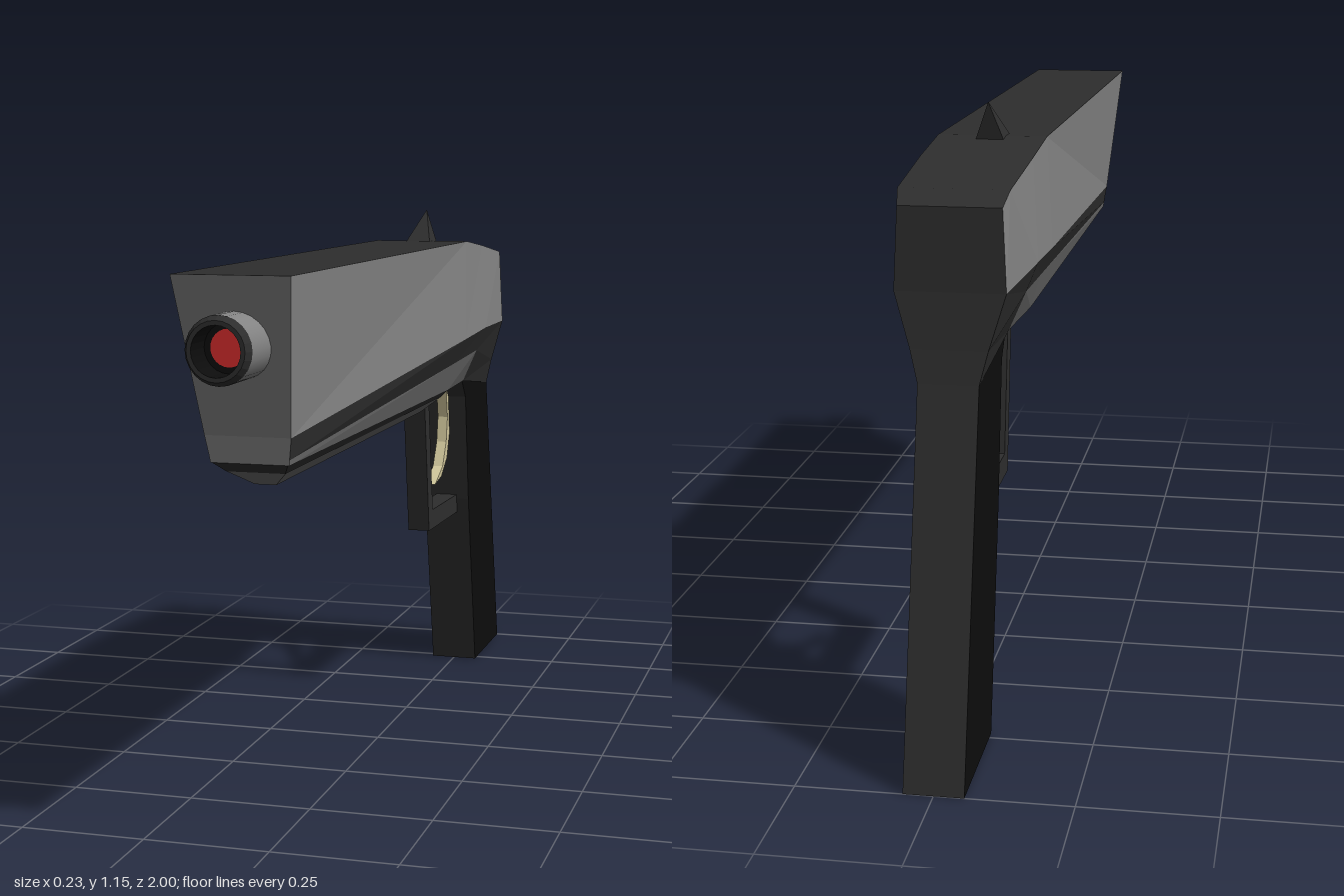
import * as THREE from 'three';

const paint = (name, color) => {
  const m = new THREE.MeshStandardMaterial({ color, flatShading: true });
  m.name = name;
  return m;
};

export function createModel() {
  const model = new THREE.Group();
  const gray = paint('steel gray', 0x848484);
  const mid = paint('shaded steel', 0x686868);
  const dark = paint('charcoal', 0x2e2e2e);
  const black = paint('grip black', 0x0c0c0c);
  const beige = paint('trigger beige', 0xd2c89c);
  const red = paint('bore red', 0xd82c2c);

  const add = (name, geometry, material) => {
    const mesh = new THREE.Mesh(geometry, material);
    mesh.name = name;
    model.add(mesh);
    return mesh;
  };
  const flip = ([x, y, z]) => [-x, y, z];

  // Flat convex faces, fan-triangulated
  const faces = (name, polys, material) => {
    const pos = [];
    for (const p of polys)
      for (let i = 1; i < p.length - 1; i++) pos.push(...p[0], ...p[i], ...p[i + 1]);
    const g = new THREE.BufferGeometry();
    g.setAttribute('position', new THREE.Float32BufferAttribute(pos, 3));
    g.computeVertexNormals();
    return add(name, g, material);
  };
  const mirrored = (polys) => [...polys, ...polys.map((p) => p.map(flip).reverse())];
  // Side faces between two rows (low, high) over successive stations
  const sides = (st, r, from = 0, to = st.length - 1) => {
    const out = [];
    for (let i = from; i < to; i++) {
      const [a, b, c, d] = [st[i][r], st[i + 1][r], st[i + 1][r + 1], st[i][r + 1]];
      out.push([a, b, c], [a, c, d]);
    }
    return mirrored(out);
  };
  // Full-width faces crossing the centre between points a and b
  const across = (a, b) => [flip(a), a, b, flip(b)];

  // Main body: stations front to back, rows bottom to top
  const body = [
    [[0.073, 0.74, 0.835], [0.074, 0.75, 0.837], [0.08, 0.79, 0.845], [0.108, 1.075, 0.925]],
    [[0.07, 0.735, -0.35], [0.089, 0.8, -0.35], [0.113, 0.855, -0.35], [0.106, 1.077, -0.38]],
    [[0.06, 0.735, -0.55], [0.093, 0.81, -0.55], [0.115, 0.865, -0.55], [0.105, 1.06, -0.55]],
    [[0.055, 0.7, -0.835], [0.07, 0.76, -0.826], [0.1, 0.86, -0.813], [0.1, 1.035, -0.77]],
  ];
  const rearTop = [0.093, 1.01, -0.81];
  const [s0, , , s3] = body;
  faces('slideSides', [...sides(body, 2), ...mirrored([[s3[2], rearTop, s3[3]]])], gray);
  faces('slideFront', [0, 1, 2].map((r) => across(s0[r], s0[r + 1])), gray);
  faces('slideTop', [
    ...[0, 1, 2].map((i) => across(body[i][3], body[i + 1][3])),
    across(s3[3], rearTop),
  ], dark);
  faces('bodyBack', [
    ...[0, 1].map((r) => across(s3[r + 1], s3[r])),
    across(rearTop, s3[2]),
  ], dark);
  faces('lowerChamfer', [...sides(body, 1), ...sides(body, 0, 2, 3)], dark);
  faces('sideRail', sides(body, 0, 0, 2), mid);
  faces('bodyUnderside', [0, 1, 2].map((i) => across(body[i + 1][0], body[i][0])), dark);

  // Tapered block below the barrel
  const under = [
    [[0.02, 0.69, 0.75], [0.055, 0.72, 0.803], [0.07, 0.74, 0.835]],
    [[0.02, 0.69, -0.29], [0.055, 0.72, -0.35], [0.07, 0.74, -0.38]],
  ];
  const [uf, ub] = under;
  faces('underBlock', [
    ...sides(under, 0), across(ub[0], uf[0]),
    across(uf[0], uf[1]), across(ub[1], ub[0]),
  ], mid);
  faces('underBlockGroove', [
    ...sides(under, 1), across(uf[1], uf[2]), across(ub[2], ub[1]),
  ], dark);

  // Profiles in (z, y), extruded across x
  const slab = (name, pts, width, material) => {
    const shape = new THREE.Shape(pts.map(([z, y]) => new THREE.Vector2(z, y)));
    const g = new THREE.ExtrudeGeometry(shape, { depth: width, bevelEnabled: false });
    g.rotateY(-Math.PI / 2).translate(width / 2, 0, 0);
    return add(name, g, material);
  };
  slab('grip', [[-0.55, 0.745], [-0.6, 0.69], [-0.64, 0.43], [-0.73, 0], [-1, 0],
    [-0.835, 0.7], [-0.815, 0.75]], 0.11, [black, dark]);
  slab('triggerGuard', [[-0.31, 0.725], [-0.36, 0.4], [-0.65, 0.395], [-0.64, 0.44],
    [-0.395, 0.445], [-0.35, 0.725]], 0.05, dark);
  slab('trigger', [[-0.575, 0.72], [-0.592, 0.64], [-0.58, 0.58], [-0.545, 0.525],
    [-0.47, 0.492], [-0.535, 0.503], [-0.59, 0.54], [-0.615, 0.6], [-0.62, 0.72]], 0.024, beige);

  // Rear sight: leaning pyramid
  const f = [0.03, 1.07, -0.335], b = [0.03, 1.065, -0.41], tip = [0, 1.147, -0.425];
  faces('sight', [[flip(f), f, tip], [b, flip(b), tip], ...mirrored([[f, b, tip]])], dark);

  // Barrel with hollow muzzle
  const lathe = (pts) => new THREE.LatheGeometry(pts.map(([r, z]) => new THREE.Vector2(r, z)), 24)
    .rotateX(Math.PI / 2).translate(0, 0.953, 0);
  const tube = gray.clone();
  tube.flatShading = false;
  add('barrel', lathe([[0.06, 0.82], [0.06, 0.985]]), tube);
  add('muzzleRim', lathe([[0.06, 0.985], [0.052, 1], [0.044, 1]]), dark);
  add('bore', lathe([[0.044, 1], [0.044, 0.935], [0.033, 0.935]]), black);
  add('boreCore', new THREE.CircleGeometry(0.034, 24).translate(0, 0.953, 0.934), red);

  return model;
}
